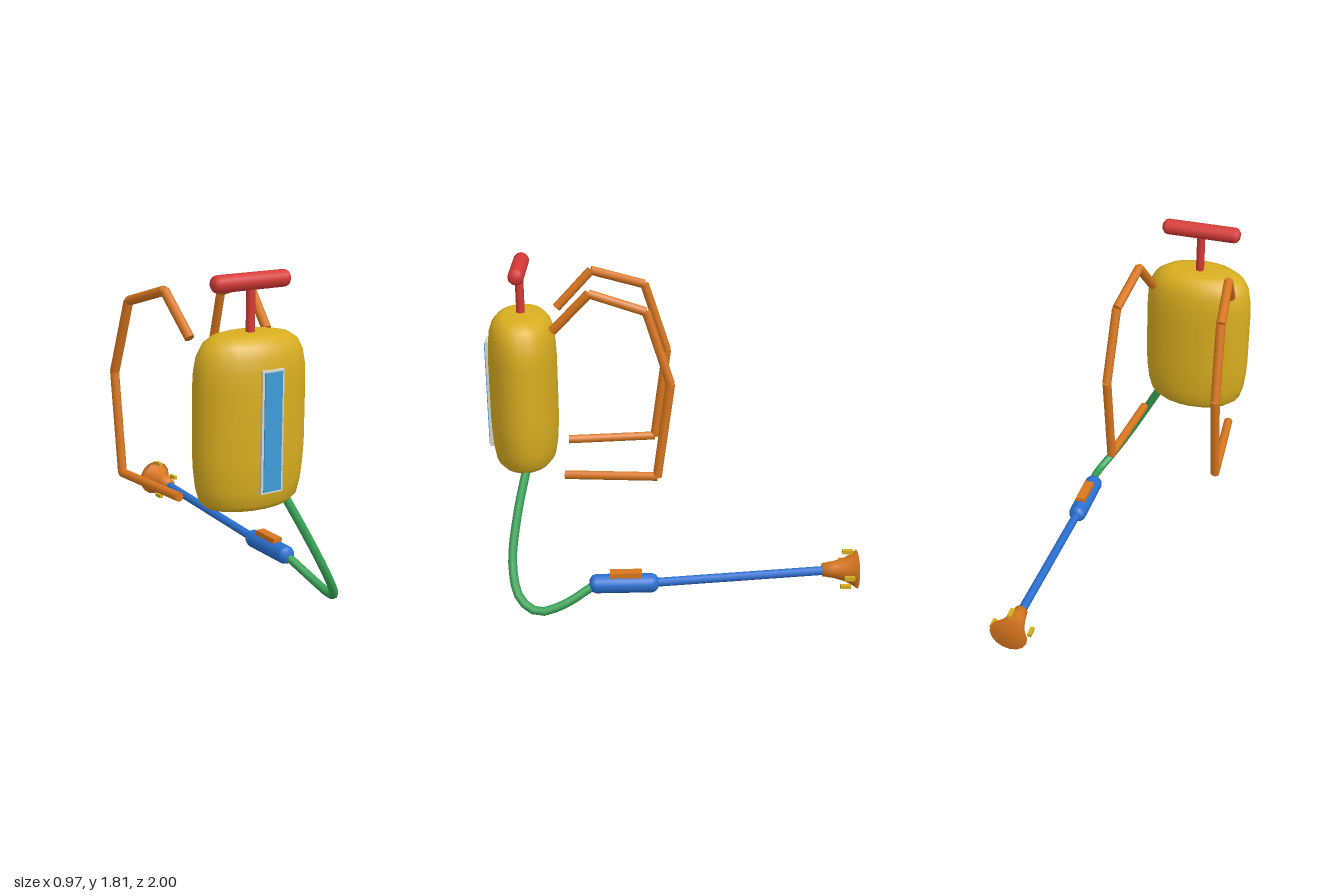
import * as THREE from 'three';

const mat = (name, color, side = THREE.FrontSide) => {
  const m = new THREE.MeshStandardMaterial({ color, side });
  m.name = name;
  return m;
};

export function createModel() {
  const gold = mat('gold', 0xd9ae20);
  const orange = mat('orange', 0xd9771f);
  const red = mat('red', 0xd63a36);
  const green = mat('green', 0x38a558);
  const blue = mat('blue', 0x2a70d2);
  const glass = mat('glass blue', 0x3f9bd8);
  const pale = mat('pale frame', 0xd8d8d2);

  const model = new THREE.Group();
  model.name = 'backpackSprayer';
  const V = (x, y, z) => new THREE.Vector3(x, y, z);
  const UP = V(0, 1, 0);

  const add = (name, geometry, material, x = 0, y = 0, z = 0, parent = model) => {
    const mesh = new THREE.Mesh(geometry, material);
    mesh.name = name;
    mesh.position.set(x, y, z);
    parent.add(mesh);
    return mesh;
  };
  const lathe = (pts, sides) =>
    new THREE.LatheGeometry(pts.map(([r, y]) => new THREE.Vector2(r, y)), sides);

  // Round rod between two points
  const rod = (name, a, b, r, material, parent = model, sides = 10) => {
    const d = b.clone().sub(a);
    const mesh = add(name, new THREE.CylinderGeometry(r, r, d.length(), sides), material, 0, 0, 0, parent);
    mesh.position.copy(a).addScaledVector(d, 0.5);
    mesh.quaternion.setFromUnitVectors(UP, d.normalize());
    return mesh;
  };

  // Bar along y with softly chamfered ends
  const softBar = (r, length, sides) => {
    const h = length / 2;
    const end = [[r, h - 0.65 * r], [0.87 * r, h - 0.28 * r], [0.5 * r, h], [0, h]];
    return lathe([...end.map(([x, y]) => [x, -y]).reverse(), ...end], sides);
  };

  // Oval tank
  const cx = -0.16, cz = 0.8;
  const tank = lathe([
    [0, 0.67], [0.5, 0.672], [0.76, 0.685], [0.88, 0.715], [0.95, 0.79], [0.985, 0.88], [1, 0.96],
    [1, 1.28], [0.985, 1.36], [0.94, 1.43], [0.84, 1.485], [0.68, 1.518], [0.5, 1.529], [0, 1.53],
  ], 20);
  tank.scale(0.305, 1, 0.187);
  add('tank', tank, gold, cx, 0, cz);

  // Level window on the front
  add('windowFrame', new THREE.BoxGeometry(0.124, 0.6, 0.02), pale, cx, 1.08, 0.985);
  add('windowGlass', new THREE.BoxGeometry(0.1, 0.58, 0.008), glass, cx, 1.08, 0.996);

  // Pump rod and grip
  rod('pumpRod', V(cx, 1.5, cz), V(cx, 1.76, cz), 0.023, red);
  add('pumpGrip', softBar(0.043, 0.436, 12), red, cx, 1.77, cz).rotation.z = Math.PI / 2;

  // Shoulder straps: [offset from the tank centre, y, z]
  const strap = [
    [0.225, 1.49, 0.62], [0.247, 1.695, 0.425], [0.28, 1.605, 0.128],
    [0.298, 1.215, 0.003], [0.3, 0.685, 0.075], [0.257, 0.685, 0.575],
  ];
  for (const side of [1, -1]) {
    const group = new THREE.Group();
    group.name = side > 0 ? 'leftStrap' : 'rightStrap';
    model.add(group);
    const pts = strap.map(([o, y, z]) => V(cx + side * o, y, z));
    for (let i = 1; i < pts.length; i++) {
      rod('strapSegment', pts[i - 1], pts[i], 0.025, orange, group, 8);
    }
  }

  // Hose from the tank base to the lance
  const hosePath = new THREE.CatmullRomCurve3([
    V(0.04, 0.72, 0.783), V(0.165, 0.47, 0.84), V(0.285, 0.24, 0.865), V(0.38, 0.085, 0.825),
    V(0.43, 0.03, 0.73), V(0.425, 0.065, 0.59), V(0.378, 0.15, 0.43),
  ]);
  add('hose', new THREE.TubeGeometry(hosePath, 20, 0.024, 8), green);

  // Lance handle, trigger and tube
  const lx = 0.37;
  add('lanceHandle', softBar(0.052, 0.37, 14), blue, lx, 0.16, 0.262).rotation.x = Math.PI / 2;
  add('trigger', new THREE.BoxGeometry(0.055, 0.04, 0.172), orange, lx, 0.212, 0.252);
  rod('lanceTube', V(lx, 0.16, 0.12), V(lx, 0.218, -0.84), 0.024, blue);

  // Flared nozzle, opening to the back
  const ny = 0.222;
  const nozzle = lathe([
    [0, 0], [0.036, 0], [0.046, 0.06], [0.064, 0.12], [0.088, 0.165], [0.106, 0.187], [0, 0.19],
  ], 16);
  add('nozzle', nozzle, orange, lx, ny, -0.81).rotation.x = -Math.PI / 2;

  // Four prongs around the nozzle
  for (let i = 0; i < 4; i++) {
    const a = (i * Math.PI) / 2;
    add('nozzleProng', new THREE.BoxGeometry(0.02, 0.022, 0.056), gold,
      lx + 0.106 * Math.cos(a), ny + 0.106 * Math.sin(a), -0.943).rotation.z = a;
  }

  return model;
}
